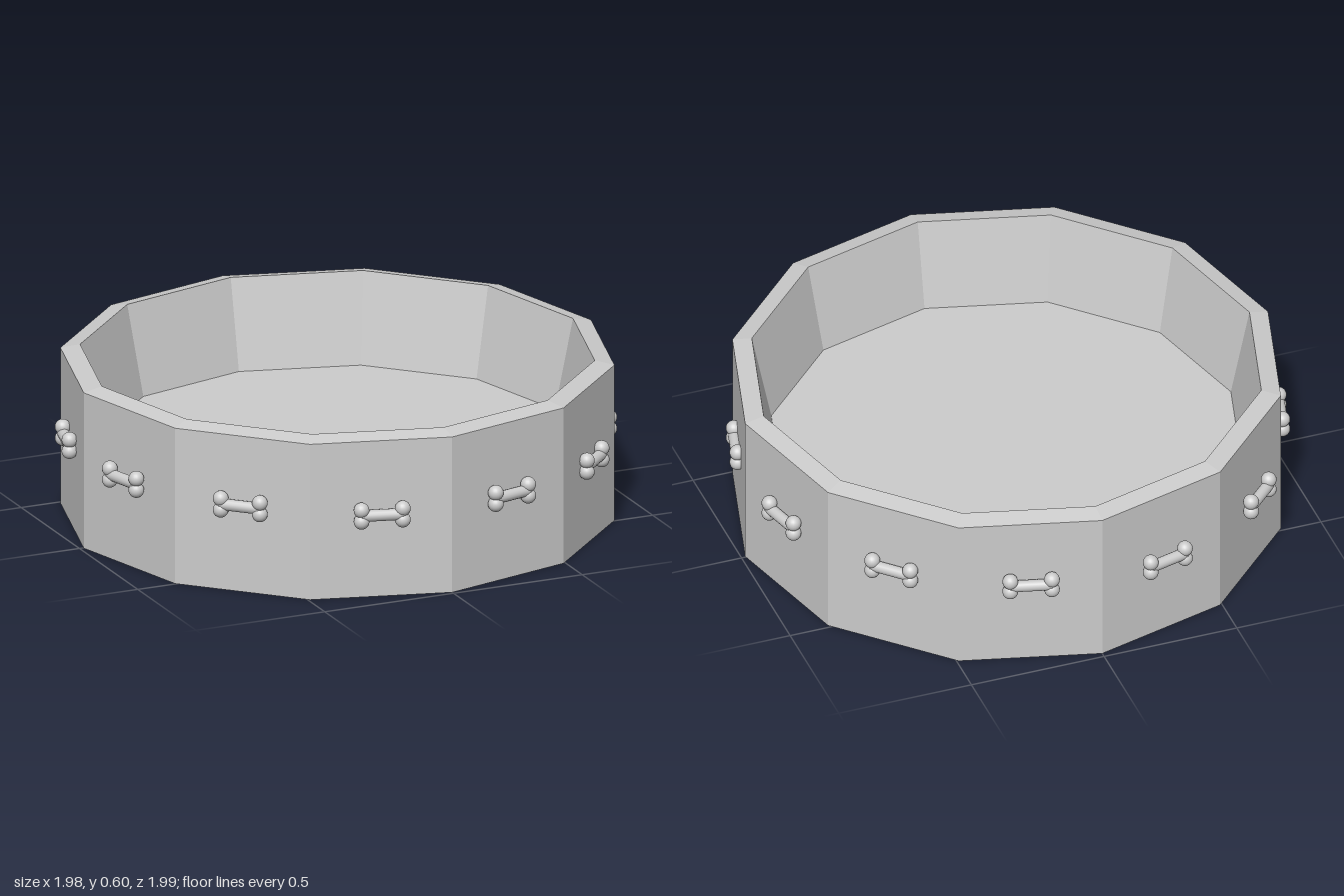
import * as THREE from 'three';

const SIDES = 12;
const grey = new THREE.MeshStandardMaterial({ color: 0xcccccc });
const greyFlat = new THREE.MeshStandardMaterial({ color: 0xcccccc, flatShading: true });

// Bone lying along x: a shaft with two knobs at each end
function makeBone() {
  const bone = new THREE.Group();
  bone.name = 'bone';
  const shaft = new THREE.Mesh(new THREE.CylinderGeometry(0.021, 0.021, 0.15, 16), grey);
  shaft.name = 'boneShaft';
  shaft.rotation.z = Math.PI / 2;
  bone.add(shaft);
  const knobGeometry = new THREE.SphereGeometry(0.028, 20, 14);
  for (const x of [-0.074, 0.074]) {
    for (const y of [-0.021, 0.021]) {
      const knob = new THREE.Mesh(knobGeometry, grey);
      knob.name = 'boneKnob';
      knob.position.set(x, y, 0);
      bone.add(knob);
    }
  }
  return bone;
}

export function createModel() {
  const model = new THREE.Group();
  model.name = 'petBowl';
  const body = new THREE.Group();
  body.name = 'bowl';
  body.position.z = 0.004;
  model.add(body);

  // Twelve-sided bowl: base, upright outer wall, sloped rim, leaning inner wall, floor
  const profile = [
    [0, 0], [0.985, 0], [0.985, 0.58], [0.915, 0.595], [0.845, 0.265], [0, 0.265],
  ].map(([r, y]) => new THREE.Vector2(r, y));
  const bowl = new THREE.Mesh(new THREE.LatheGeometry(profile, SIDES), greyFlat);
  bowl.name = 'bowlShell';
  body.add(bowl);

  // One bone per side, from the front turning towards +x: [distance from axis, height]
  const placements = [
    [0.974, 0.318], [0.971, 0.308], [0.963, 0.304], [0.974, 0.328], [0.97, 0.33], [0.975, 0.33],
    [0.992, 0.325], [0.988, 0.322], [0.973, 0.325], [0.981, 0.33], [0.975, 0.326], [0.974, 0.31],
  ];
  placements.forEach(([distance, height], i) => {
    const angle = ((i + 0.5) / SIDES) * Math.PI * 2;
    const bone = makeBone();
    bone.position.set(Math.sin(angle) * distance, height, Math.cos(angle) * distance);
    bone.rotation.y = angle;
    body.add(bone);
  });

  return model;
}
